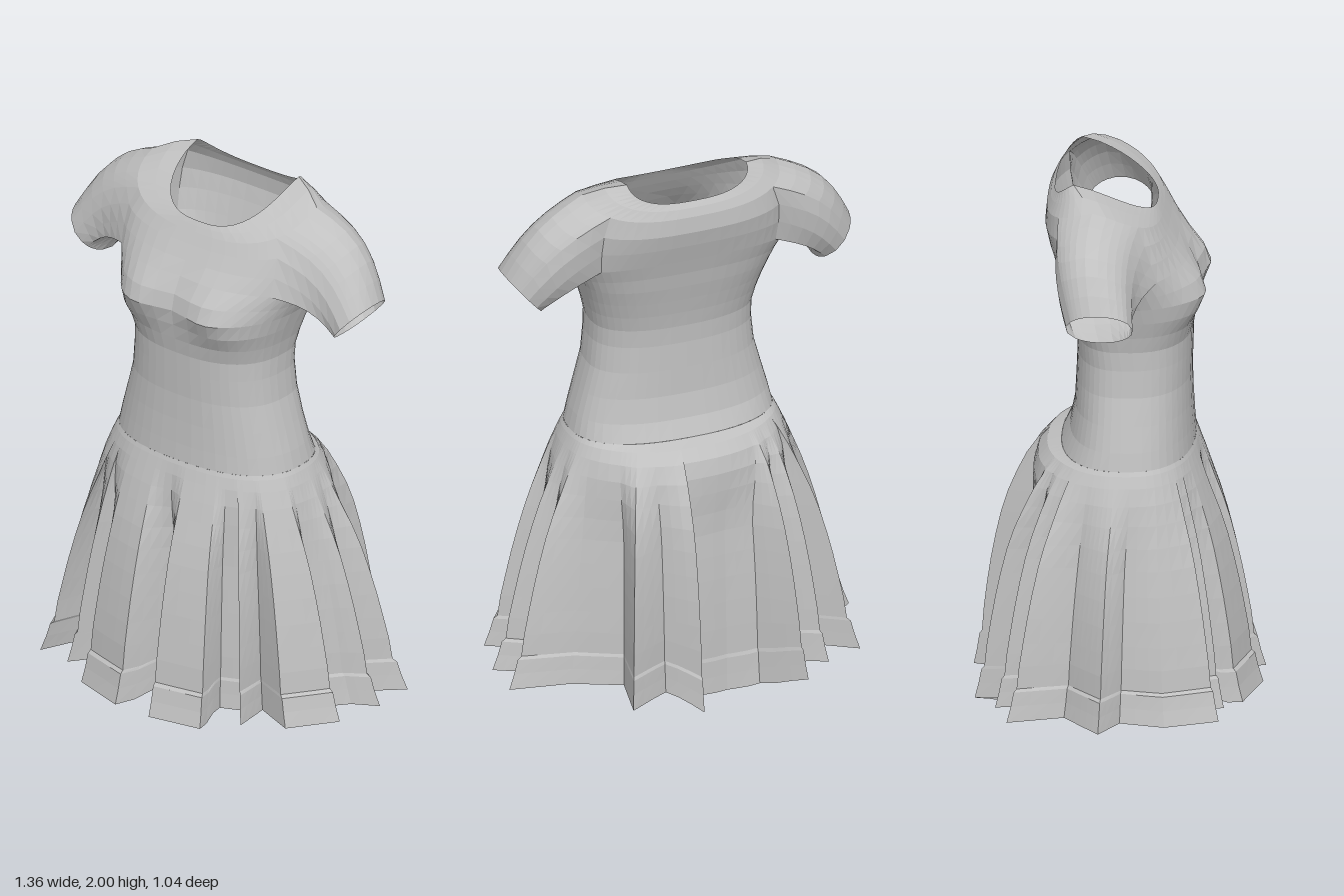
import * as THREE from 'three';

const fabric = new THREE.MeshStandardMaterial({ color: 0xc0c0c0, side: THREE.DoubleSide, flatShading: true });
fabric.name = 'grey fabric';

const V = (x, y, z) => new THREE.Vector3(x, y, z);
const { lerp, smoothstep } = THREE.MathUtils;
const spow = (v, p) => Math.sign(v) * Math.abs(v) ** p;

// Surface through closed rings of points; skip(i, j) leaves a quad open
function loft(name, rings, skip = () => false) {
  const n = rings[0].length, index = [];
  for (let i = 0; i < rings.length - 1; i++) {
    for (let j = 0; j < n; j++) {
      if (skip(i, j)) continue;
      const k = (j + 1) % n, a = i * n, b = a + n;
      index.push(a + j, a + k, b + k, a + j, b + k, b + j);
    }
  }
  const geo = new THREE.BufferGeometry().setFromPoints(rings.flat());
  geo.setIndex(index);
  geo.computeVertexNormals();
  const mesh = new THREE.Mesh(geo, fabric);
  mesh.name = name;
  return mesh;
}

// Bodice rings: y at front, side, back; half width; z at front, back, side; roundness
const BODY = [
  [0.965, 0.965, 0.965, 0.38, 0.275, -0.20, 0.03, 0.83],
  [1.03, 1.03, 1.03, 0.365, 0.27, -0.17, 0.03, 0.83],
  [1.12, 1.12, 1.12, 0.34, 0.265, -0.152, 0.03, 0.82],
  [1.22, 1.22, 1.22, 0.313, 0.262, -0.147, 0.03, 0.82],
  [1.32, 1.32, 1.32, 0.303, 0.265, -0.143, 0.03, 0.82],
  [1.39, 1.39, 1.39, 0.303, 0.267, -0.147, 0.02, 0.82],
  [1.45, 1.45, 1.45, 0.315, 0.277, -0.158, 0.01, 0.79],
  [1.51, 1.51, 1.51, 0.332, 0.286, -0.172, 0, 0.76],
  [1.57, 1.57, 1.57, 0.35, 0.29, -0.187, -0.02, 0.74],
  [1.63, 1.61, 1.63, 0.37, 0.275, -0.2, -0.03, 0.74],
  [1.69, 1.655, 1.69, 0.395, 0.245, -0.218, -0.04, 0.73],
  [1.74, 1.75, 1.76, 0.4, 0.215, -0.24, -0.045, 0.72],
  [1.79, 1.85, 1.82, 0.395, 0.185, -0.255, -0.05, 0.72],
  [1.83, 1.95, 1.88, 0.37, 0.162, -0.25, -0.07, 0.75],
  [1.85, 1.983, 1.91, 0.3, 0.15, -0.237, -0.11, 0.77],
  [1.865, 2, 1.93, 0.228, 0.14, -0.222, -0.145, 0.74],
];
const COLS = 48, ARM_LOW = 10, ARM_HIGH = 13, ARM_HALF = 5;
const SHIFT = -0.012; // the garment hangs slightly off centre

function bodyPoint([yf, ys, yb, w, zf, zb, zc, p], angle) {
  const s = Math.sin(angle), c = Math.cos(angle);
  const x = w * spow(s, p);
  const y = lerp(ys, c > 0 ? yf : yb, Math.abs(c));
  let z = zc + (c > 0 ? zf - zc : zc - zb) * spow(c, p);
  // Bust shaping, drooping towards the sides
  if (c > 0) {
    const ax = Math.abs(x), rise = y - 1.615 + 0.25 * ax;
    const dx = (ax - 0.175) / 0.12, dy = rise / (rise < 0 ? 0.085 : 0.1);
    z += 0.045 * Math.exp(-dx * dx - dy * dy);
  }
  return V(x + SHIFT, y, z);
}

// Sleeve runs from the edge of the armhole to a slanted oval cuff
function sleeve(name, body, side) {
  const mid = side * COLS / 4, at = (i, k) => body[i][(mid + side * k + COLS) % COLS];
  const hole = [];
  for (let k = -ARM_HALF; k < ARM_HALF; k++) hole.push(at(ARM_LOW, k));
  for (let i = ARM_LOW; i < ARM_HIGH; i++) hole.push(at(i, ARM_HALF));
  for (let k = ARM_HALF; k > -ARM_HALF; k--) hole.push(at(ARM_HIGH, k));
  for (let i = ARM_HIGH; i > ARM_LOW; i--) hole.push(at(i, -ARM_HALF));
  if (side < 0) hole.reverse();
  const rings = [];
  for (let r = 0; r <= 6; r++) {
    const t = r / 6, bulge = Math.sin(Math.PI * t);
    rings.push(hole.map((p) => {
      const a = Math.atan2(p.y - 1.8, p.z + 0.035), up = Math.sin(a);
      const cuff = V(side * (0.592 + 0.067 * up) + SHIFT, 1.595 + 0.077 * up, -0.03 + 0.12 * Math.cos(a));
      const q = p.clone().lerp(cuff, t);
      const lift = bulge * (0.025 + 0.015 * up);
      return q.add(V(side * lift * 0.7, lift, -0.02 * bulge));
    }));
  }
  return loft(name, rings);
}

// Pleated hem outline (x, z), from the front centre round by the left side
const HEM = [
  [0, 0.30], [0.06, 0.52], [0.26, 0.48], [0.24, 0.34], [0.31, 0.31], [0.38, 0.40], [0.37, 0.26],
  [0.52, 0.32], [0.64, 0.16], [0.53, 0.10], [0.59, 0.03], [0.68, -0.02], [0.57, -0.08], [0.68, -0.18],
  [0.46, -0.22], [0.29, -0.30], [0.33, -0.49], [0.17, -0.40], [0.07, -0.52], [0.05, -0.36],
  [-0.09, -0.34], [-0.21, -0.35], [-0.34, -0.49], [-0.30, -0.33], [-0.45, -0.41], [-0.42, -0.25],
  [-0.59, -0.36], [-0.53, -0.16], [-0.60, -0.10], [-0.68, -0.03], [-0.57, 0.04], [-0.60, 0.20],
  [-0.53, 0.39], [-0.46, 0.24], [-0.40, 0.40], [-0.32, 0.30], [-0.29, 0.46], [-0.09, 0.52],
];

// Each column of the skirt: a waist angle and a hem point
function skirtColumns(steps) {
  const angleOf = ([x, z]) => {
    const a = Math.atan2(x / 1.3, z);
    return a < 0 ? a + 2 * Math.PI : a;
  };
  return HEM.flatMap((p, i) => {
    const last = i === HEM.length - 1, q = HEM[last ? 0 : i + 1];
    const a = angleOf(p), b = last ? 2 * Math.PI : angleOf(q);
    return Array.from({ length: steps }, (_, k) => {
      const t = k / steps;
      return { angle: lerp(a, b, t), x: lerp(p[0], q[0], t), z: lerp(p[1], q[1], t) };
    });
  });
}

// One skirt ring: height and how far it has spread from waist to hem
function skirtRing(columns, y, spread) {
  const pleat = smoothstep(spread, 0, 0.5);
  return columns.map(({ angle, x, z }) => {
    const back = Math.max(0, -Math.cos(angle)) ** 2;
    const w = bodyPoint(BODY[0], angle);
    const f = spread ** (1 - 0.5 * back);
    // Smooth yoke shape below the waist that gives way to the pleats
    const smoothX = w.x * 1.6, smoothZ = w.z * (w.z < 0 ? 2.3 : 1.55);
    // The middle of the back hangs lowest, the front panels a little low
    const centre = z < 0 ? Math.exp(-(((x + 0.1) / 0.2) ** 4)) : 0;
    const low = 0.075 * centre + (z > 0.4 ? 0.02 : 0);
    const py = y - low * smoothstep(0.4 - y, 0, 0.325);
    return V(lerp(w.x, lerp(smoothX, x, pleat), f), py, lerp(w.z, lerp(smoothZ, z, pleat), f));
  });
}

export function createModel() {
  const dress = new THREE.Group();
  dress.name = 'dress';

  // Bodice with open armholes
  const body = BODY.map((row) =>
    Array.from({ length: COLS }, (_, j) => bodyPoint(row, (2 * Math.PI * j) / COLS)));
  const inArmhole = (i, j) => i >= ARM_LOW && i < ARM_HIGH &&
    [COLS / 4, (3 * COLS) / 4].some((m) => j >= m - ARM_HALF && j < m + ARM_HALF);
  dress.add(loft('bodice', body, inArmhole));

  // Sleeves
  dress.add(sleeve('leftSleeve', body, 1), sleeve('rightSleeve', body, -1));

  // Pleated skirt and the flared ruffle along its hem, listed from the bottom up
  const columns = skirtColumns(3);
  const ring = ([y, spread]) => skirtRing(columns, y, spread);
  const skirtRows = [[0.19, 0.83], [0.27, 0.79], [0.35, 0.73], [0.44, 0.66], [0.53, 0.58], [0.62, 0.49],
    [0.7, 0.405], [0.78, 0.31], [0.85, 0.22], [0.91, 0.12], [0.95, 0.04], [0.965, 0]];
  const ruffleRows = [[0.075, 1], [0.13, 0.93], [0.18, 0.88], [0.19, 0.83]];
  dress.add(loft('skirt', skirtRows.map(ring)), loft('hemRuffle', ruffleRows.map(ring)));
  return dress;
}
